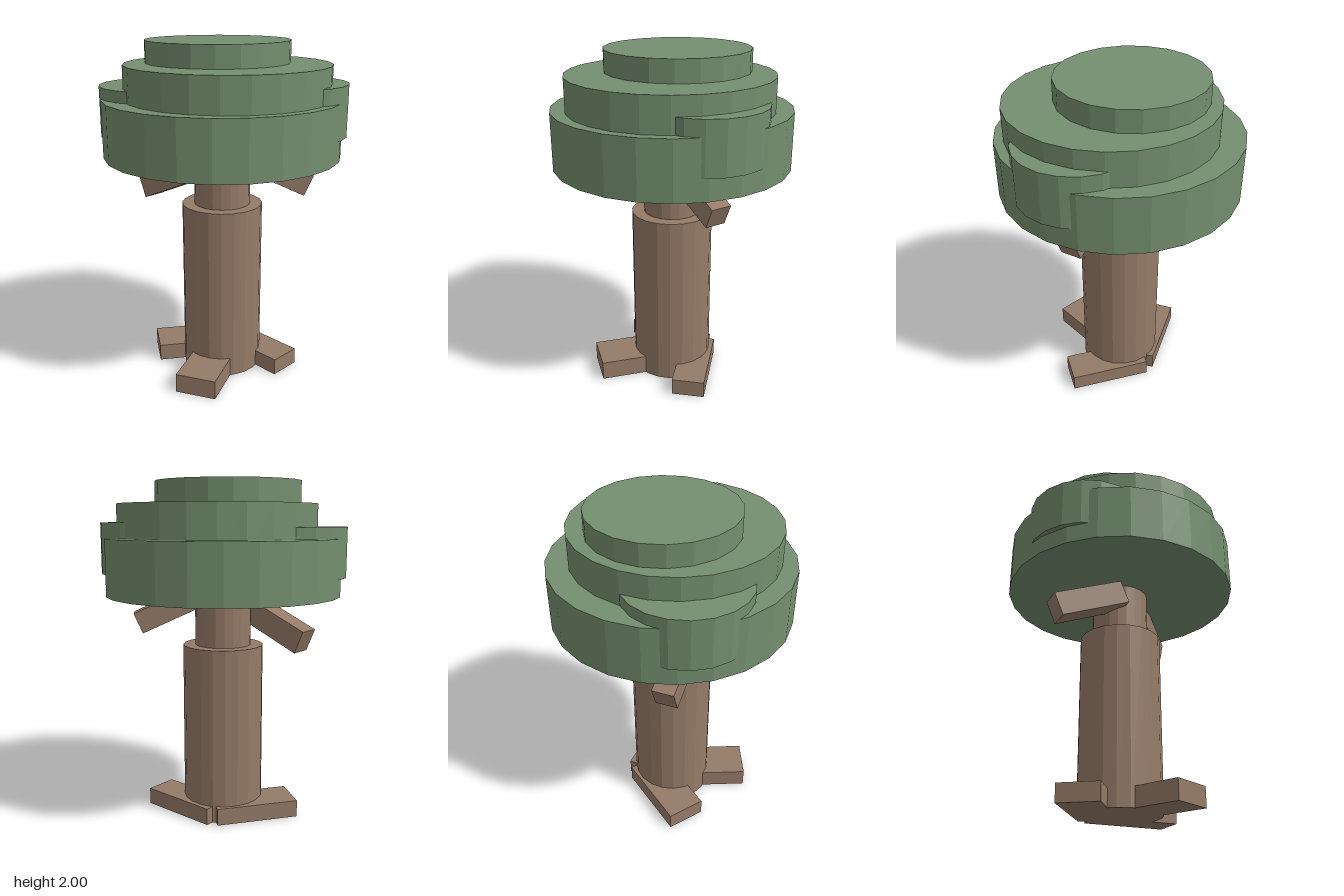
import * as THREE from 'three';

export function createModel() {
  const model = new THREE.Group();
  model.name = 'tree';

  const bark = new THREE.MeshStandardMaterial({ color: 0x957b68, flatShading: true });
  bark.name = 'barkBrown';
  const leaf = new THREE.MeshStandardMaterial({ color: 0x748e6f, flatShading: true });
  leaf.name = 'leafGreen';

  // Upright faceted drum between two heights
  function drum(name, material, radius, y0, y1, sides, x = 0, z = 0) {
    const mesh = new THREE.Mesh(new THREE.CylinderGeometry(radius, radius, y1 - y0, sides), material);
    mesh.name = name;
    mesh.position.set(x, (y0 + y1) / 2, z);
    model.add(mesh);
  }

  // Square beam placed by the centre of its outer end, running back inward
  function beam(name, tip, length, height, width, yaw, pitch = 0) {
    const geometry = new THREE.BoxGeometry(length, height, width).translate(-length / 2, 0, 0);
    const mesh = new THREE.Mesh(geometry, bark);
    mesh.name = name;
    mesh.position.set(...tip);
    mesh.rotation.set(0, yaw, pitch, 'YZX');
    model.add(mesh);
  }

  // Trunk
  drum('lowerTrunk', bark, 0.24, 0, 1.05, 20);
  drum('upperTrunk', bark, 0.167, 1.0, 1.5, 20);

  // Roots
  beam('frontRoot', [0, 0.0575, 0.48], 0.48, 0.115, 0.245, -Math.PI / 2);
  beam('leftRoot', [0.422, 0.05, 0.018], 0.49, 0.1, 0.195, -0.45);
  beam('rightRoot', [-0.415, 0.051, 0.075], 0.5, 0.102, 0.235, Math.PI + 0.52);

  // Branches sloping down from under the canopy
  beam('leftBranch', [0.492, 1.18, -0.122], 0.45, 0.13, 0.125, 0.32, -0.42);
  beam('rightBranch', [-0.502, 1.097, -0.06], 0.45, 0.14, 0.13, Math.PI - 0.42, -0.41);

  // Canopy tiers and side clumps
  drum('lowerCanopy', leaf, 0.69, 1.35, 1.68, 24);
  drum('middleCanopy', leaf, 0.59, 1.58, 1.875, 24, 0.04, 0.02);
  drum('topCanopy', leaf, 0.42, 1.75, 2.0, 20, -0.043, -0.045);
  drum('leftClump', leaf, 0.34, 1.475, 1.77, 20, 0.37, -0.08);
  drum('rightClump', leaf, 0.35, 1.455, 1.745, 20, -0.365, 0.06);

  return model;
}
